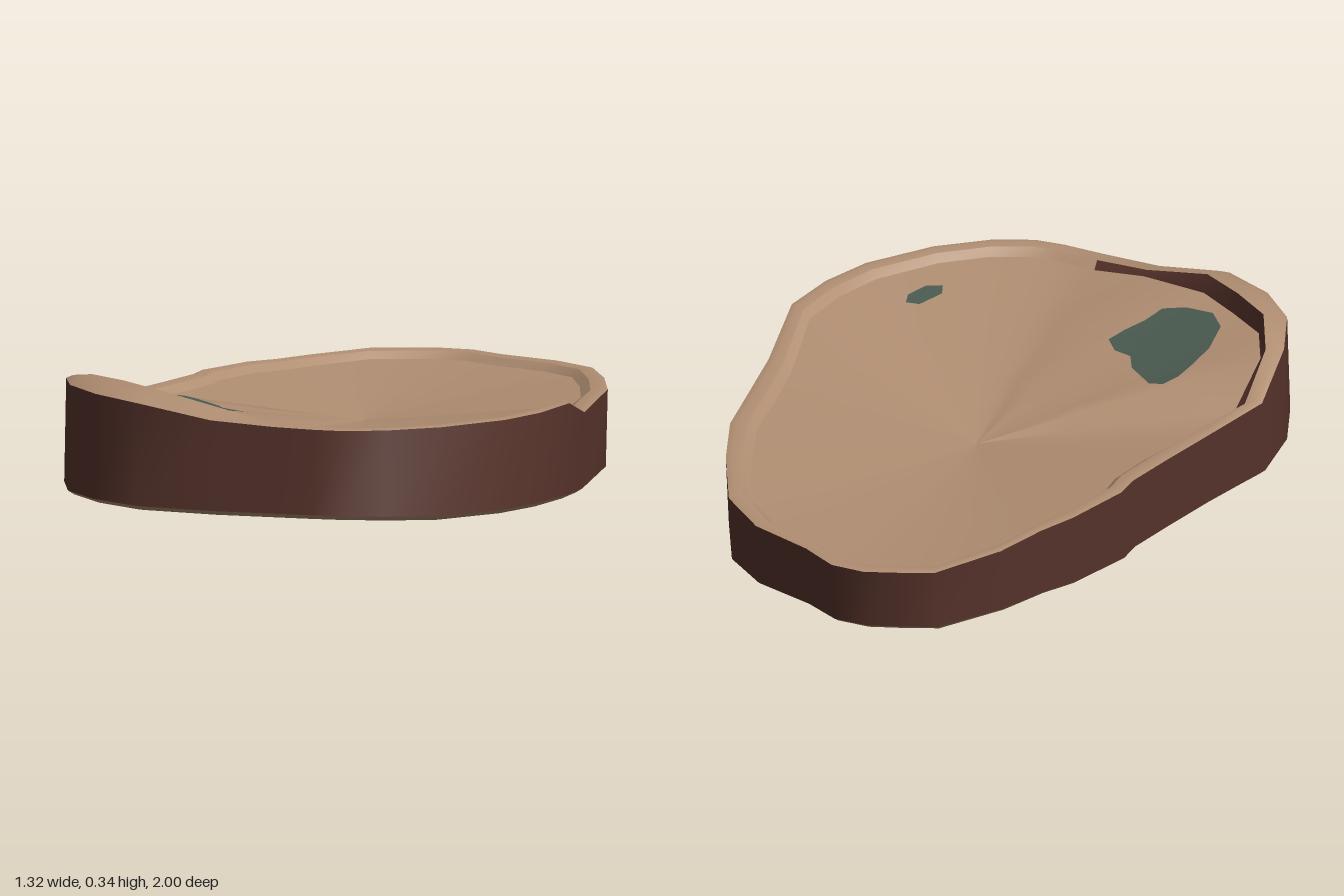
import * as THREE from 'three';

const tan = new THREE.MeshStandardMaterial({ color: 0xb08e72 });
tan.name = 'cut wood';
const bark = new THREE.MeshStandardMaterial({ color: 0x58342c, side: THREE.DoubleSide });
bark.name = 'bark';
const moss = new THREE.MeshStandardMaterial({ color: 0x4a5a50 });
moss.name = 'moss stain';

// Outline of the slice as x, z pairs, running back, +x side, front, -x side
const outline = [
  [0.08, -1], [0.17, -0.98], [0.26, -0.9], [0.42, -0.8], [0.53, -0.66], [0.6, -0.43], [0.645, -0.22], [0.65, 0],
  [0.655, 0.2], [0.655, 0.43], [0.61, 0.6], [0.54, 0.74], [0.4, 0.89], [0.27, 0.97], [0.16, 1], [0.08, 0.99],
  [-0.03, 0.96], [-0.2, 0.91], [-0.4, 0.85], [-0.53, 0.74], [-0.62, 0.6], [-0.66, 0.42], [-0.65, 0.24], [-0.56, 0.02],
  [-0.5, -0.15], [-0.45, -0.3], [-0.44, -0.38], [-0.36, -0.56], [-0.3, -0.65], [-0.23, -0.79], [-0.1, -0.96], [0, -0.985],
];
// Raised lip at the front -x corner: extra height of bark and wood edge, and width
const barkLift = { 17: 0.005, 18: 0.035, 19: 0.04, 20: 0.04, 21: 0.03 };
const woodLift = { 17: 0.025, 18: 0.06, 19: 0.065, 20: 0.062, 21: 0.035 };
const lipWidth = { 17: 0.08, 18: 0.09, 19: 0.1, 20: 0.07, 21: 0.05 };

// Piecewise linear heights along z
const topLine = [[-1, 0.193], [-0.75, 0.2], [-0.5, 0.215], [0.2, 0.222], [0.42, 0.28], [1, 0.28]];
const baseLine = [[-1, 0.012], [-0.8, 0.008], [-0.5, 0], [0.2, 0.01], [0.45, 0.03], [0.9, 0.035], [1, 0.045]];
function heightAt(line, z) {
  for (let i = 1; i < line.length; i++) {
    const [z0, y0] = line[i - 1], [z1, y1] = line[i];
    if (z <= z1) return THREE.MathUtils.lerp(y0, y1, (z - z0) / (z1 - z0));
  }
  return line[line.length - 1][1];
}

// A ring of points, moved inward by inset(i) and leaning along z
function ring(inset, lean, height) {
  return outline.map(([x, z], i) => {
    const k = 1 - inset(i) / Math.hypot(x, z);
    return [x * k, height(z, i), (z * 0.985 + lean) * k];
  });
}

// Surface through successive rings; closed unless a from/to range is given
function loft(rings, from = 0, to = rings[0].length) {
  const n = rings[0].length, index = [];
  for (let r = 0; r < rings.length - 1; r++) {
    for (let k = from; k < to; k++) {
      const i = k % n, j = (k + 1) % n, a = r * n, b = a + n;
      index.push(a + i, b + i, a + j, a + j, b + i, b + j);
    }
  }
  const g = new THREE.BufferGeometry();
  g.setAttribute('position', new THREE.Float32BufferAttribute(rings.flat(2), 3));
  g.setIndex(index);
  g.computeVertexNormals();
  return g;
}

// Rings shrinking towards a middle point
function shrink(edge, centre, steps) {
  return steps.map((s) => edge.map((p) => p.map((v, k) => centre[k] + (v - centre[k]) * s)));
}

export function createModel() {
  const group = new THREE.Group();
  group.name = 'woodSlice';
  const add = (name, geometry, material) => {
    const mesh = new THREE.Mesh(geometry, material);
    mesh.name = name;
    group.add(mesh);
  };

  const lip = (i) => lipWidth[i] || 0.045;
  const bottomInner = ring(() => 0.055, 0.015, (z) => heightAt(baseLine, z));
  const bottomMid = ring(() => 0.02, 0.015, (z) => heightAt(baseLine, z) + 0.006);
  const bottomOuter = ring(() => 0, 0.015, (z) => heightAt(baseLine, z) + 0.018);
  const topOuter = ring(() => 0, -0.015, (z, i) => heightAt(topLine, z) + (barkLift[i] || 0));
  const topMid = ring((i) => lip(i) * 0.4, -0.015,
    (z, i) => heightAt(topLine, z) + 0.004 + ((barkLift[i] || 0) + (woodLift[i] || 0)) / 2);
  const topInner = ring(lip, -0.015, (z, i) => heightAt(topLine, z) + (woodLift[i] || 0));
  const floorEdge = ring((i) => lip(i) + (woodLift[i] ? 0.014 : 0.025), -0.015,
    (z, i) => heightAt(topLine, z) + (woodLift[i] ? 0.012 : -0.018));

  // Bark wall, and the strip of bark exposed inside the raised lip
  add('barkWall', loft([bottomOuter, topOuter]), bark);
  add('crackWall', loft([topInner, floorEdge], 16, 22), bark);

  // Rounded wood edges, and the low step down to the sunken top face
  add('topEdge', loft([topOuter, topMid, topInner]), tan);
  add('topStep', loft([topInner, floorEdge], 22, 48), tan);
  add('bottomEdge', loft([bottomInner, bottomMid, bottomOuter]), tan);

  // Cut faces, both slightly dished
  const middle = [0.04, 0.15, -0.04];
  add('topFace', loft(shrink(floorEdge, middle, [1, 0.7, 0.35, 0])), tan);
  add('bottomFace', loft(shrink(bottomInner, [0.04, 0.025, -0.04], [0, 0.35, 0.7, 1])), tan);

  // Height of the top face at x, z
  const faceHeight = (x, z) => {
    const [px, pz] = [x - middle[0], z - middle[2]];
    for (let i = 0; i < floorEdge.length; i++) {
      const [a, b] = [floorEdge[i], floorEdge[(i + 1) % floorEdge.length]].map((p) => p.map((v, k) => v - middle[k]));
      const det = a[0] * b[2] - a[2] * b[0];
      const s = (px * b[2] - pz * b[0]) / det, t = (a[0] * pz - a[2] * px) / det;
      if (s >= 0 && t >= 0) return middle[1] + s * a[1] + t * b[1];
    }
    return middle[1];
  };

  // Moss stains lying on the top face
  const stains = {
    largeStain: [[-0.38, 0.24], [-0.34, 0.25], [-0.27, 0.34], [-0.25, 0.4], [-0.2, 0.43], [-0.17, 0.48], [-0.2, 0.53],
      [-0.24, 0.58], [-0.27, 0.64], [-0.33, 0.65], [-0.41, 0.62], [-0.45, 0.55], [-0.45, 0.44], [-0.43, 0.35], [-0.41, 0.28]],
    smallStain: [[0.36, 0.575], [0.395, 0.57], [0.4, 0.61], [0.37, 0.67], [0.33, 0.69], [0.32, 0.65]],
  };
  for (const [name, points] of Object.entries(stains)) {
    const edge = points.map(([x, z]) => [x, 0, z]);
    const centre = [0, 1, 2].map((k) => edge.reduce((sum, p) => sum + p[k], 0) / edge.length);
    const rings = shrink(edge, centre, [1, 0.8, 0.6, 0.4, 0.2, 0]);
    for (const p of rings.flat()) p[1] = faceHeight(p[0], p[2]) + 0.004;
    add(name, loft(rings), moss);
  }
  return group;
}
